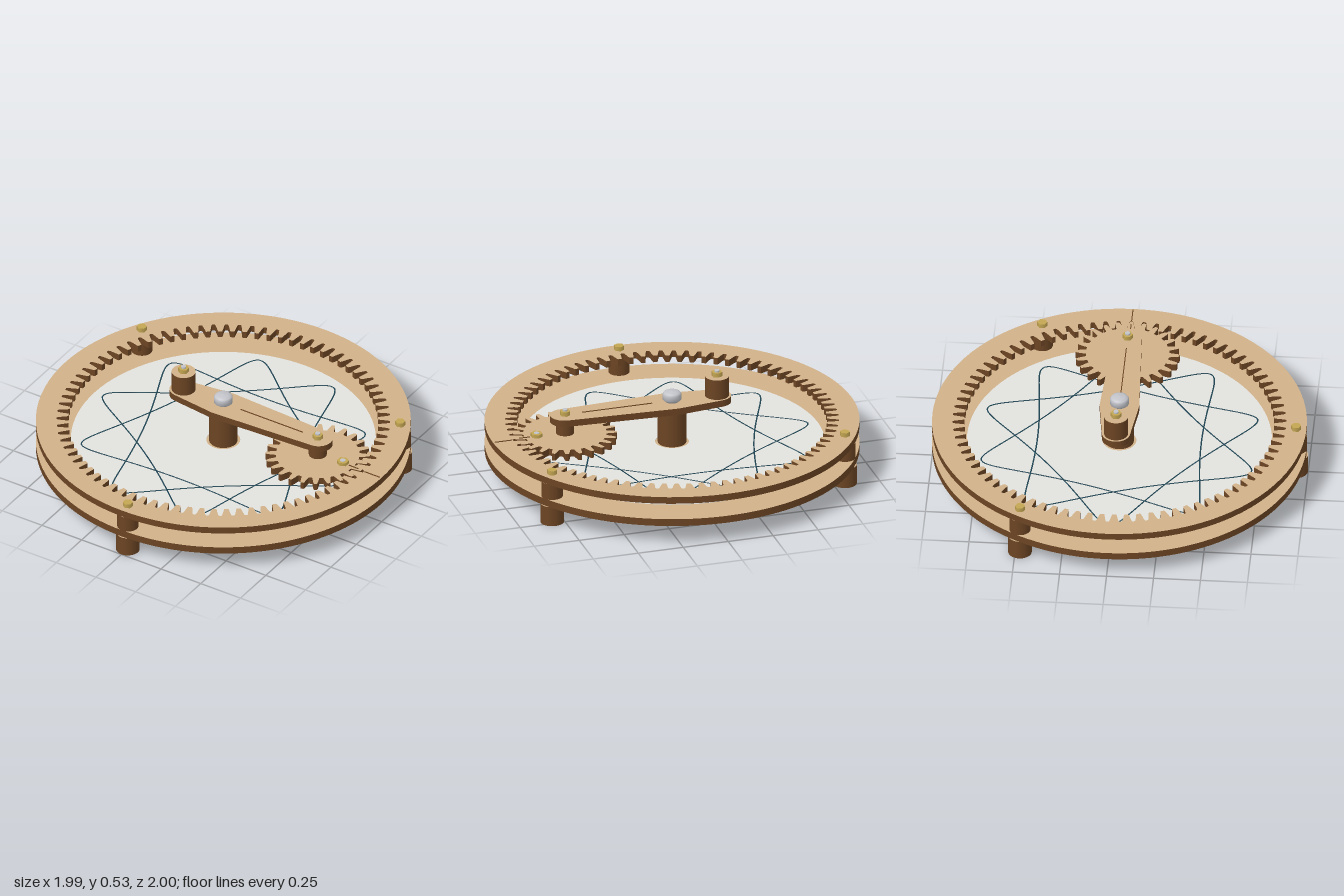
import * as THREE from 'three';

const mat = (name, color) => {
  const m = new THREE.MeshStandardMaterial({ color });
  m.name = name;
  return m;
};

export function createModel() {
  const tan = mat('plywood face', 0xd0b189);
  const brown = mat('burnt edge', 0x6b4423);
  const white = mat('paper', 0xe2e1dd);
  const ink = mat('ink', 0x1f4655);
  const brass = mat('brass', 0xc4a652);
  const steel = mat('steel', 0xc2c4ca);

  const model = new THREE.Group();
  model.name = 'gearDrawingMachine';
  const body = new THREE.Group();
  body.name = 'machine';
  body.position.z = -0.004;
  model.add(body);

  const add = (name, geo, material, x = 0, y = 0, z = 0) => {
    const m = new THREE.Mesh(geo, material);
    m.name = name;
    m.position.set(x, y, z);
    body.add(m);
    return m;
  };
  // Upright cylinder from y0 to y1
  const post = (name, r, y0, y1, material, x = 0, z = 0, sides = 32) =>
    add(name, new THREE.CylinderGeometry(r, r, y1 - y0, sides), material, x, (y0 + y1) / 2, z);
  // Flat plate cut from a shape, lying between y0 and y1
  const plate = (name, shape, y0, y1, material) => {
    const geo = new THREE.ExtrudeGeometry(shape, { depth: y1 - y0, bevelEnabled: false, curveSegments: 48 });
    geo.rotateX(-Math.PI / 2);
    return add(name, geo, material, 0, y0);
  };
  const disc = (r, holeR) => {
    const s = new THREE.Shape().absarc(0, 0, r, 0, Math.PI * 2);
    if (holeR) s.holes.push(new THREE.Path().absarc(0, 0, holeR, 0, Math.PI * 2, true));
    return s;
  };
  const wood = [tan, brown];            // extruded: faces, edges
  const woodPost = [brown, tan, tan];   // cylinder: side, top, bottom

  // Outline of a toothed wheel, one tooth centred on angle 0
  const toothPoints = (n, root, tip, cx = 0) => {
    const profile = [[-0.33, 0], [-0.28, 0.2], [-0.22, 0.55], [-0.15, 0.9], [-0.1, 1],
      [0.1, 1], [0.15, 0.9], [0.22, 0.55], [0.28, 0.2], [0.33, 0]];
    const pts = [];
    for (let i = 0; i < n; i++) {
      for (const [f, h] of profile) {
        const a = ((i + f) / n) * Math.PI * 2;
        const r = root + (tip - root) * h;
        pts.push(new THREE.Vector2(cx + Math.cos(a) * r, Math.sin(a) * r));
      }
    }
    return pts;
  };

  // Base plate and paper
  add('basePlate', new THREE.CylinderGeometry(0.995, 0.995, 0.04, 128), woodPost, 0, 0.13, 0);
  plate('paper', disc(0.81, 0.09), 0.15, 0.153, white);

  // Drawn curve: a wheel with 24 teeth rolling inside 80 teeth
  const armLength = 0.595, penOffset = 0.16;
  class Rosette extends THREE.Curve {
    getPoint(t, target = new THREE.Vector3()) {
      const a = t * Math.PI * 6, b = (a * 7) / 3;
      return target.set(armLength * Math.cos(a) + penOffset * Math.cos(b), 0,
        armLength * Math.sin(a) - penOffset * Math.sin(b));
    }
  }
  const line = new THREE.TubeGeometry(new Rosette(), 700, 0.004, 5, true);
  line.scale(1, 0.5, 1);
  add('drawnCurve', line, ink, 0, 0.1545, 0);

  // Toothed ring
  const ring = disc(0.995);
  ring.holes.push(new THREE.Path(toothPoints(80, 0.822, 0.885).reverse()));
  plate('ringGear', ring, 0.24, 0.278, wood);

  // Three legs with spacers and bolts
  for (let i = 0; i < 3; i++) {
    const a = Math.PI / 2 + (i * Math.PI * 2) / 3;
    const x = Math.cos(a) * 0.94, z = Math.sin(a) * 0.94;
    const foot = plate('foot', disc(0.063, 0.042), 0, 0.11, wood);
    foot.position.x = x;
    foot.position.z = z;
    post('spacer', 0.057, 0.15, 0.24, woodPost, x, z);
    post('legBolt', 0.027, 0.278, 0.302, brass, x, z, 6);
  }

  // Centre column and its axle
  post('column', 0.076, 0.15, 0.35, woodPost);
  post('axleEnd', 0.02, 0.04, 0.11, steel, 0, 0, 20);

  // Rolling gear
  plate('rollingGear', new THREE.Shape(toothPoints(24, 0.222, 0.277, armLength)), 0.243, 0.283, wood);
  post('pivotSpacer', 0.048, 0.283, 0.35, woodPost, armLength);
  post('pivotScrewEnd', 0.014, 0.21, 0.243, steel, armLength, 0, 16);

  // Pen holder
  const penX = armLength + penOffset - 0.002;
  post('penHolder', 0.05, 0.175, 0.243, woodPost, penX);
  post('penNut', 0.032, 0.283, 0.302, brass, penX, 0, 6);
  post('penTop', 0.015, 0.302, 0.304, steel, penX, 0, 16);
  post('penTip', 0.022, 0.155, 0.175, brass, penX, 0, 16);

  // Crank arm: hull of three circles
  const aR = Math.acos(0.03 / 0.6), aL = Math.PI - Math.acos(0.03 / 0.25);
  const arm = new THREE.Shape();
  arm.absarc(0.6, 0, 0.075, -aR, aR);
  arm.absarc(0, 0, 0.105, aR, aL);
  arm.absarc(-0.25, 0, 0.075, aL, Math.PI * 2 - aL);
  arm.absarc(0, 0, 0.105, Math.PI * 2 - aL, Math.PI * 2 - aR);
  plate('crankArm', arm, 0.35, 0.387, wood);

  // Marker lines on arm, gear and ring
  for (const [name, x0, x1, y] of [['armMark', 0.11, 0.5, 0.388],
    ['gearMark', 0.79, 0.85, 0.284], ['ringMark', 0.89, 0.985, 0.279]]) {
    add(name, new THREE.BoxGeometry(x1 - x0, 0.005, 0.005), brown, (x0 + x1) / 2, y, 0);
  }

  // Handle
  post('handle', 0.064, 0.387, 0.5, woodPost, -0.25);

  // Nuts with screw ends on the handle and pivot
  for (const [x, y, r] of [[-0.25, 0.5, 0.029], [armLength, 0.387, 0.028]]) {
    post('nut', r, y, y + 0.024, brass, x, 0, 6);
    post('screwEnd', 0.014, y + 0.024, y + 0.033, steel, x, 0, 16);
  }

  // Domed centre bolt
  const dome = [[0, 0], [0.036, 0], [0.036, 0.012], [0.05, 0.012], [0.05, 0.042],
    [0.044, 0.051], [0.03, 0.057], [0, 0.06]].map(([x, y]) => new THREE.Vector2(x, y));
  add('centreBolt', new THREE.LatheGeometry(dome, 32), steel, 0, 0.387, 0);

  return model;
}
